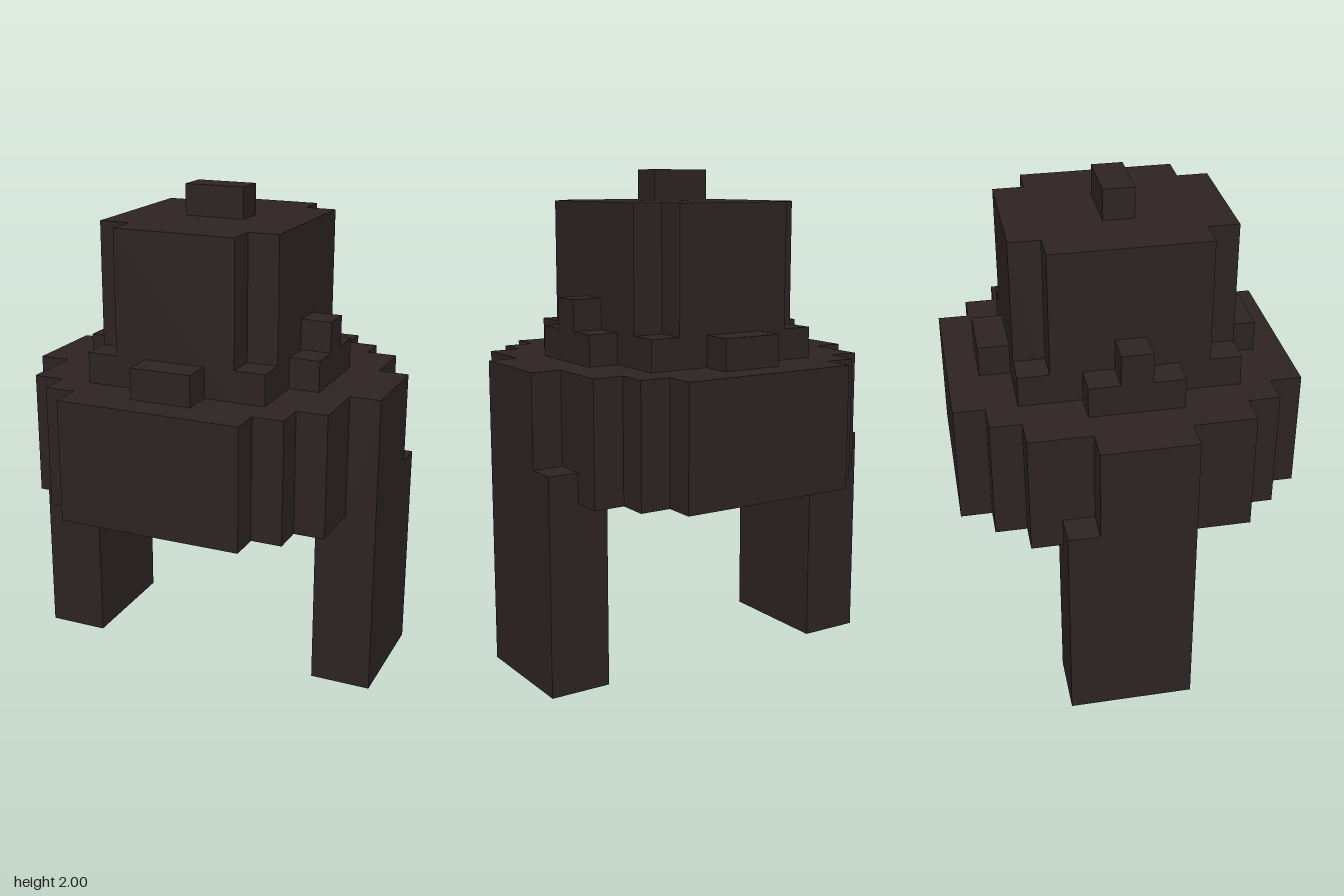
import * as THREE from 'three';

const U = 0.125; // block size
const BASE_Y = 0.755; // underside of the body

export function createModel() {
  const group = new THREE.Group();
  group.name = 'blockTower';
  const dark = new THREE.MeshStandardMaterial({ name: 'dark brown', color: 0x2d2323 });

  const add = (name, geometry) => {
    const mesh = new THREE.Mesh(geometry, dark);
    mesh.name = name;
    group.add(mesh);
  };

  // Box given by its minimum and maximum corners
  const box = (name, x0, x1, y0, y1, z0, z1) => {
    const g = new THREE.BoxGeometry(x1 - x0, y1 - y0, z1 - z0);
    g.translate((x0 + x1) / 2, (y0 + y1) / 2, (z0 + z1) / 2);
    add(name, g);
  };

  // Upright prism from one quarter of a stepped outline, mirrored to all four
  const prism = (name, quarter, y0, y1) => {
    const back = [...quarter].reverse();
    const outline = [
      ...quarter,
      ...back.map(([x, z]) => [-x, z]),
      ...quarter.map(([x, z]) => [-x, -z]),
      ...back.map(([x, z]) => [x, -z]),
    ].map(([x, z]) => new THREE.Vector2(x * U, z * U));
    const g = new THREE.ExtrudeGeometry(new THREE.Shape(outline), { depth: y1 - y0, bevelEnabled: false });
    g.rotateX(-Math.PI / 2);
    g.translate(0, y0, 0);
    add(name, g);
  };

  // Round stepped body and the notched tower on it
  prism('body', [[5, 3.5], [4, 3.5], [4, 4.5], [3, 4.5], [3, 5.5]], BASE_Y, 1.25);
  prism('tower', [[3, 2.5], [2, 2.5], [2, 3.5]], 1.25, 1.875);
  box('topKnob', -U, U, 1.875, 2, -U / 2, U / 2);

  for (const s of [-1, 1]) {
    // Mirror a box across x
    const side = (name, x0, x1, ...rest) => (s > 0 ? box(name, x0, x1, ...rest) : box(name, -x1, -x0, ...rest));
    const tag = s > 0 ? 'left' : 'right';

    // Leg with its tall shoulder plate and low rear step
    side(tag + 'Leg', 0.5, 0.75, 0, BASE_Y, -0.3125, 0.1875);
    side(tag + 'Shoulder', 0.625, 0.75, BASE_Y, 1.25, -0.1875, 0.1875);
    side(tag + 'LegStep', 0.625, 0.75, BASE_Y, 0.875, -0.3125, -0.1875);

    // Stepped handle beside the tower
    side(tag + 'Ledge', 0.375, 0.5, 1.25, 1.375, -0.1875, 0.1875);
    side(tag + 'LedgePeg', 0.375, 0.5, 1.375, 1.5, -0.0625, 0.0625);

    // Low corner blocks in the tower notches
    side(tag + 'FrontCorner', 0.25, 0.375, 1.25, 1.375, 0.3125, 0.4375);
    side(tag + 'BackCorner', 0.25, 0.375, 1.25, 1.375, -0.4375, -0.3125);
  }

  // Front and back blocks at the foot of the tower
  box('frontBlock', -U, U, 1.25, 1.375, 0.4375, 0.5625);
  box('backBlock', -U, U, 1.25, 1.375, -0.5625, -0.4375);

  return group;
}
